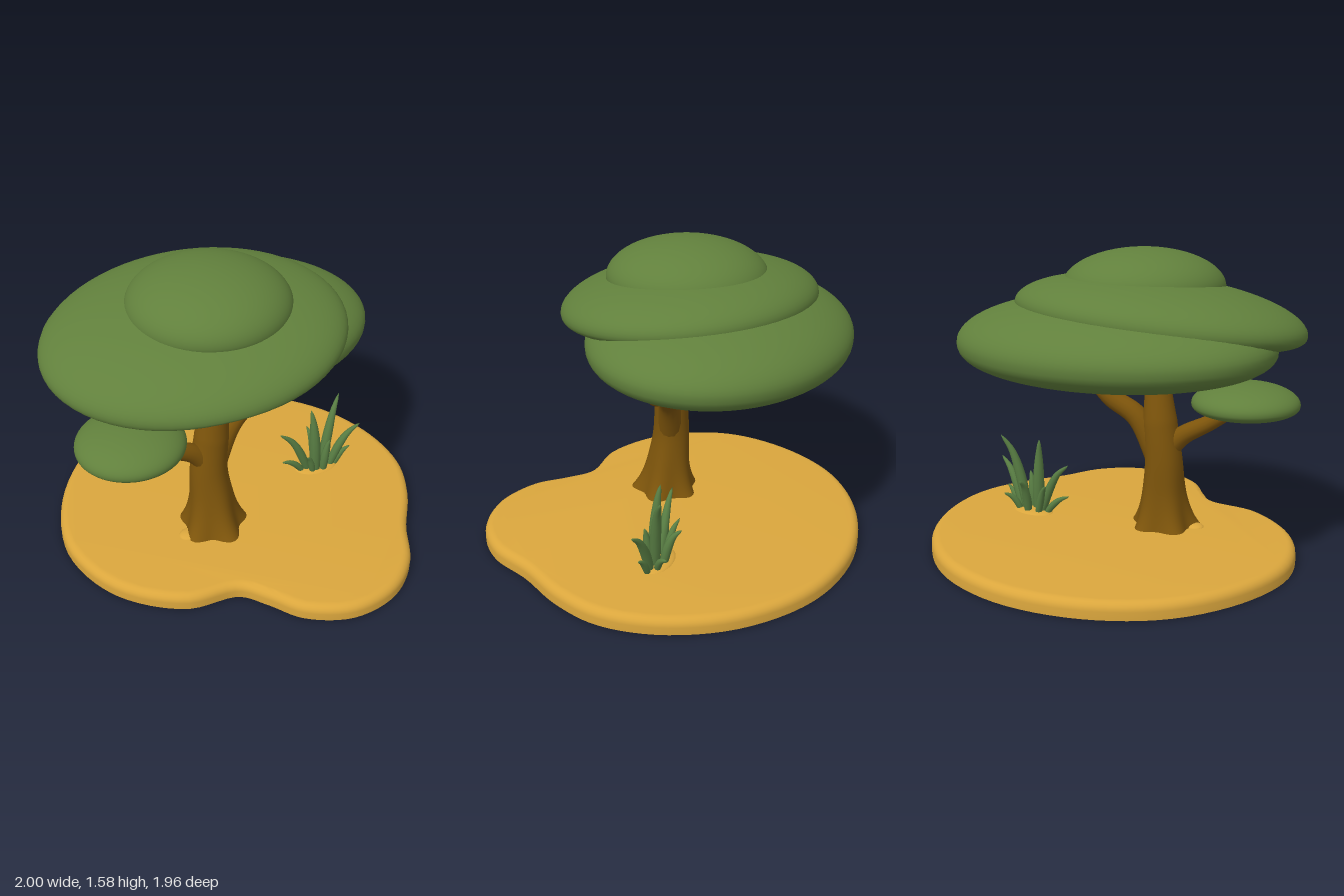
import * as THREE from 'three';
import { mergeVertices, toCreasedNormals } from 'three/addons/utils/BufferGeometryUtils.js';

const material = (name, color) => {
  const m = new THREE.MeshStandardMaterial({ color });
  m.name = name;
  return m;
};
const v3 = (p) => new THREE.Vector3(...p);

// Weld the vertices and smooth the normals
function smooth(geo) {
  geo.deleteAttribute('uv');
  geo.deleteAttribute('normal');
  const welded = mergeVertices(geo, 1e-5);
  welded.computeVertexNormals();
  return welded;
}

// Tube along points, with the radius set by a rule of (position along, angle)
function limb(points, radius, sides = 14, steps = 24) {
  const curve = new THREE.CatmullRomCurve3(points.map(v3));
  const geo = new THREE.TubeGeometry(curve, steps, 1, sides, false);
  const pos = geo.attributes.position;
  const p = new THREE.Vector3();
  for (let i = 0; i <= steps; i++) {
    const t = i / steps;
    const c = curve.getPointAt(t);
    for (let j = 0; j <= sides; j++) {
      const k = i * (sides + 1) + j;
      p.fromBufferAttribute(pos, k).sub(c).multiplyScalar(radius(t, (j / sides) * Math.PI * 2)).add(c);
      pos.setXYZ(k, p.x, p.y, p.z);
    }
  }
  return smooth(geo);
}

// Tapered limb with a rounded end
const taper = (r0, r1) => (t) =>
  (r0 + (r1 - r0) * t) * (t > 0.92 ? Math.sqrt(Math.max(0, 1 - ((t - 0.92) / 0.08) ** 2)) : 1);

// Cushion of leaves: domed above, optionally hollow below, with an arch in the front of its underside
function leafPad({ rx, rz, top, bottom, hollow = 0, arch = 0 }) {
  const pts = [];
  for (let i = 0; i <= 40; i++) {
    const a = (i / 40 - 0.5) * Math.PI;
    const r = Math.max(0, Math.cos(a));
    const dip = 1 - hollow * Math.exp(-((r / 0.45) ** 2));
    pts.push(new THREE.Vector2(r, a < 0 ? -bottom * dip * Math.pow(-Math.sin(a), 0.8) : top * Math.sin(a)));
  }
  const geo = new THREE.LatheGeometry(pts, 64).scale(rx, 1, rz);
  const pos = geo.attributes.position;
  for (let i = 0; i < pos.count; i++) {
    const y = pos.getY(i);
    if (y >= 0) continue;
    const front = THREE.MathUtils.smoothstep(pos.getZ(i), 0, 0.3);
    pos.setY(i, y * (1 - arch * front * Math.exp(-((pos.getX(i) / 0.27) ** 2))));
  }
  return smooth(geo);
}

export function createModel() {
  const sand = material('sand', 0xdaa63d);
  const bark = material('bark', 0x7e550b);
  const leaf = material('leaf', 0x61803c);
  const grassGreen = material('grass', 0x587d43);

  const model = new THREE.Group();
  model.name = 'savannaTree';
  const add = (parent, name, geo, mat) => {
    const mesh = new THREE.Mesh(geo, mat);
    mesh.name = name;
    parent.add(mesh);
    return mesh;
  };
  const group = (name) => {
    const g = new THREE.Group();
    g.name = name;
    model.add(g);
    return g;
  };

  // Ground slab: outline as x, z with a notch at the front
  const outline = [
    [0, -0.98], [0.42, -0.89], [0.76, -0.63], [0.95, -0.3], [1, 0.02], [0.93, 0.28], [0.8, 0.52],
    [0.7, 0.76], [0.53, 0.92], [0.28, 0.98], [0.04, 0.9], [-0.1, 0.76], [-0.22, 0.66],
    [-0.5, 0.65], [-0.82, 0.44], [-0.99, 0.08], [-0.95, -0.3], [-0.75, -0.66], [-0.42, -0.89],
  ];
  const ring = new THREE.CatmullRomCurve3(outline.map(([x, z]) => new THREE.Vector3(x, z, 0)), true);
  const edge = ring.getPoints(110).slice(0, -1);
  const slabShape = new THREE.Shape(edge.map((p) => new THREE.Vector2(p.x, -p.y)));
  const slab = new THREE.ExtrudeGeometry(slabShape, {
    depth: 0.043, bevelThickness: 0.045, bevelSize: 0.045, bevelOffset: -0.045, bevelSegments: 6, steps: 1,
  }).rotateX(-Math.PI / 2);
  const sp = slab.attributes.position;
  for (let i = 0; i < sp.count; i++) sp.setY(i, Math.max(0.003, sp.getY(i))); // flat underside
  slab.deleteAttribute('uv');
  slab.deleteAttribute('normal');
  add(model, 'ground', toCreasedNormals(slab, 0.7), sand);

  // Dark earth face under the slab
  const underShape = new THREE.Shape(edge.map((p) => new THREE.Vector2(p.x, p.y)));
  add(model, 'groundUnderside', new THREE.ShapeGeometry(underShape).rotateX(Math.PI / 2), bark);

  // Low sand mounds by the trunk and under the grass: centre x, z, radii
  for (const [x, z, rx, rz] of [[-0.35, 0.22, 0.06, 0.05], [0.51, -0.09, 0.13, 0.08]]) {
    const mound = add(model, 'sandMound', new THREE.SphereGeometry(1, 32, 12).scale(rx, 0.02, rz), sand);
    mound.position.set(x, 0.084, z);
  }

  // Trunk with flared, lobed roots
  const tree = group('trunkAndBranches');
  const trunkRadius = (t, a) => {
    const flare = Math.exp(-t * 6);
    return (0.084 + 0.022 * (1 - t) + 0.105 * flare) * (1 + 0.2 * flare * Math.cos(5 * a)) * (t > 0.75 ? 1 - (t - 0.75) * 0.9 : 1);
  };
  add(tree, 'trunk', limb([
    [-0.2, 0.02, 0.165], [-0.203, 0.25, 0.15], [-0.21, 0.45, 0.135], [-0.19, 0.65, 0.13], [-0.165, 0.88, 0.14],
  ], trunkRadius, 60, 40), bark);

  // Branches: path, start radius, end radius
  const branches = [
    ['lowerLeftBranch', [[-0.2, 0.47, 0.14], [-0.3, 0.59, 0.16], [-0.45, 0.68, 0.2], [-0.6, 0.78, 0.23]], 0.06, 0.032],
    ['rightBranch', [[-0.2, 0.42, 0.135], [-0.07, 0.68, 0.09], [0.07, 0.78, 0.04], [0.15, 0.88, 0.02], [0.17, 1.1, -0.01]], 0.07, 0.036],
    ['rightFork', [[0.1, 0.81, 0.04], [0.2, 0.87, 0.01], [0.31, 0.89, 0], [0.38, 0.95, 0], [0.42, 1.05, 0]], 0.05, 0.032],
    ['upperLeftBranch', [[-0.17, 0.83, 0.14], [-0.27, 0.89, 0.16], [-0.4, 0.94, 0.18], [-0.49, 1.01, 0.19], [-0.57, 1.07, 0.2]], 0.055, 0.034],
    ['upperLeftFork', [[-0.34, 0.91, 0.17], [-0.4, 0.99, 0.17], [-0.45, 1.12, 0.16]], 0.042, 0.034],
    ['middleBranch', [[-0.165, 0.78, 0.14], [-0.175, 0.95, 0.15], [-0.19, 1.18, 0.15]], 0.07, 0.05],
    ['upperRightBranch', [[-0.16, 0.82, 0.14], [-0.11, 0.98, 0.15], [-0.03, 1.19, 0.17]], 0.06, 0.042],
  ];
  for (const [name, path, r0, r1] of branches) add(tree, name, limb(path, taper(r0, r1)), bark);

  // Canopy: two tilted cushions, a dome and a small low pad
  const canopy = group('canopy');
  const pads = [
    ['lowerCanopy', { rx: 0.85, rz: 0.66, top: 0.24, bottom: 0.19, hollow: 0.7, arch: 0.95 }, [-0.11, 1.125, -0.19], [-0.035, 0]],
    ['middleCanopy', { rx: 0.765, rz: 0.66, top: 0.21, bottom: 0.12, hollow: 0.6, arch: 0.4 }, [-0.235, 1.235, 0.03], [0.09, 0.065]],
    ['topDome', { rx: 0.41, rz: 0.42, top: 0.195, bottom: 0.1 }, [-0.155, 1.385, 0.02], [0, 0]],
    ['smallLeafPad', { rx: 0.275, rz: 0.275, top: 0.108, bottom: 0.073 }, [-0.635, 0.803, 0.235], [0, 0]],
  ];
  for (const [name, form, at, [tiltX, tiltZ]] of pads) {
    const mesh = add(canopy, name, leafPad(form), leaf);
    mesh.position.set(...at);
    mesh.rotation.set(tiltX, 0, tiltZ);
  }

  // Grass clump: base x, z, tip x, y, z, radius
  const grass = group('grassClump');
  const blades = [
    [0.46, -0.08, 0.275, 0.385, -0.07, 0.026],
    [0.5, -0.06, 0.465, 0.505, -0.085, 0.034],
    [0.55, -0.09, 0.67, 0.52, -0.17, 0.03],
    [0.59, -0.08, 0.765, 0.36, -0.06, 0.026],
    [0.62, -0.08, 0.715, 0.2, -0.07, 0.019],
    [0.43, -0.08, 0.285, 0.2, -0.05, 0.019],
    [0.52, -0.12, 0.5, 0.29, -0.215, 0.025],
    [0.46, -0.11, 0.37, 0.27, -0.15, 0.022],
    [0.58, -0.11, 0.64, 0.19, -0.19, 0.019],
    [0.54, -0.05, 0.57, 0.3, -0.04, 0.026],
    [0.48, -0.05, 0.43, 0.22, -0.02, 0.02],
  ];
  const bladeRadius = (r) => (t) => r * (0.75 + 0.5 * Math.sin(t * Math.PI * 0.9)) * Math.pow(Math.max(0, 1 - t), 0.45);
  for (const [x, z, tx, ty, tz, r] of blades) {
    const path = [
      [x, 0.075, z],
      [x + (tx - x) * 0.32, 0.075 + (ty - 0.075) * 0.5, z + (tz - z) * 0.25],
      [x + (tx - x) * 0.62, 0.075 + (ty - 0.075) * 0.8, z + (tz - z) * 0.55],
      [tx, ty, tz],
    ];
    add(grass, 'grassBlade', limb(path, bladeRadius(r), 10, 16), grassGreen);
  }
  return model;
}
